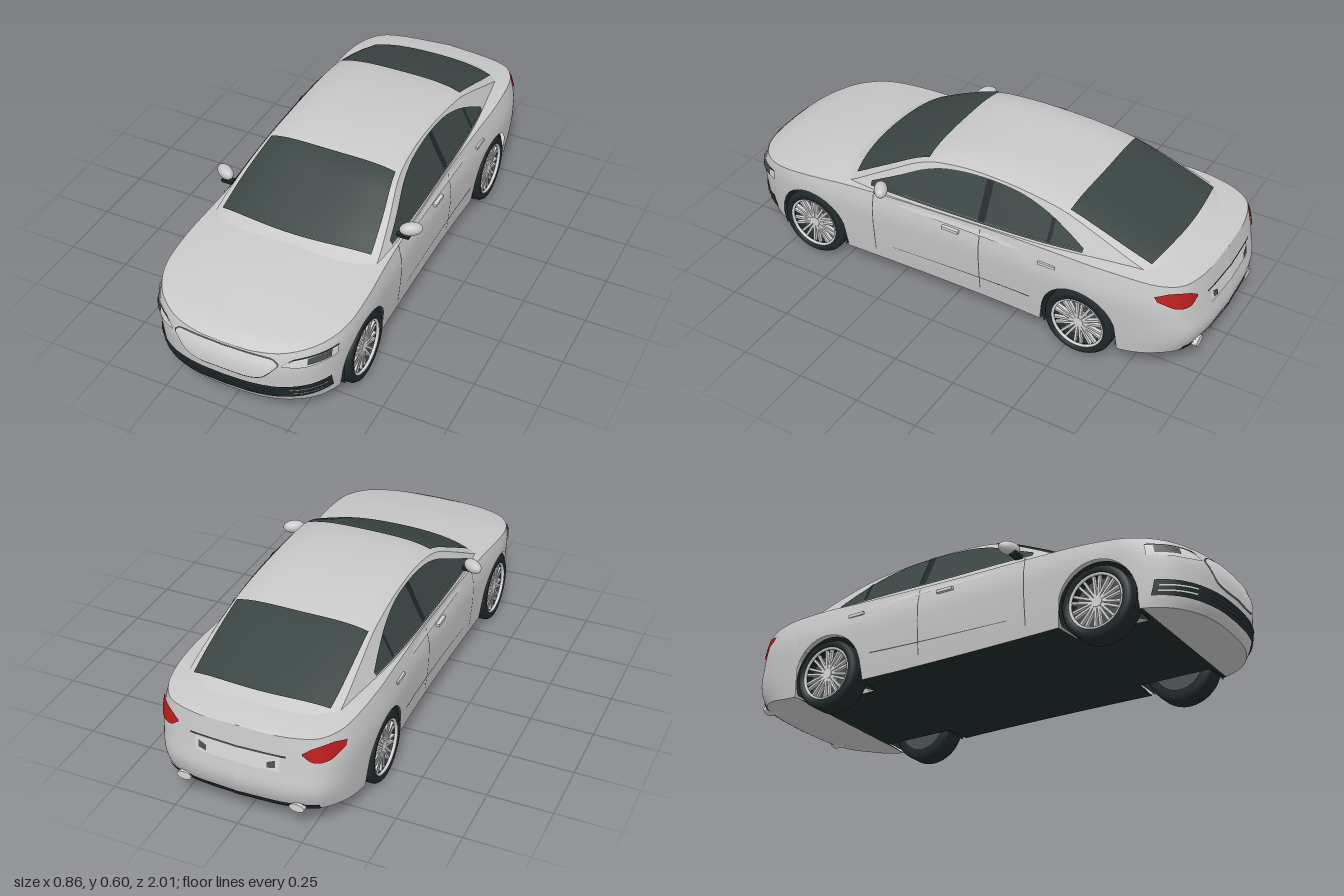
import * as THREE from 'three';

const mat = (name, color) => {
  const m = new THREE.MeshStandardMaterial({ color, side: THREE.DoubleSide });
  m.name = name;
  return m;
};

// Smooth curve through [position, value] pairs
function curve(table) {
  const p = [...table].sort((a, b) => a[0] - b[0]);
  const slope = i => {
    const a = p[Math.max(i - 1, 0)], b = p[Math.min(i + 1, p.length - 1)];
    return (b[1] - a[1]) / (b[0] - a[0]);
  };
  return t => {
    if (t <= p[0][0]) return p[0][1];
    if (t >= p[p.length - 1][0]) return p[p.length - 1][1];
    let i = 0;
    while (t > p[i + 1][0]) i++;
    const h = p[i + 1][0] - p[i][0], s = (t - p[i][0]) / h;
    const s2 = s * s, s3 = s2 * s;
    return (2 * s3 - 3 * s2 + 1) * p[i][1] + (s3 - 2 * s2 + s) * h * slope(i)
      + (3 * s2 - 2 * s3) * p[i + 1][1] + (s3 - s2) * h * slope(i + 1);
  };
}

// Surface grid: f(i, j) returns [x, y, z]
function grid(nu, nv, f) {
  const pos = [], idx = [];
  for (let i = 0; i <= nu; i++) for (let j = 0; j <= nv; j++) pos.push(...f(i, j));
  for (let i = 0; i < nu; i++) for (let j = 0; j < nv; j++) {
    const a = i * (nv + 1) + j, b = a + nv + 1;
    idx.push(a, b, a + 1, b, b + 1, a + 1);
  }
  const g = new THREE.BufferGeometry();
  g.setAttribute('position', new THREE.Float32BufferAttribute(pos, 3));
  g.setIndex(idx);
  g.computeVertexNormals();
  return g;
}

export function createModel() {
  const car = new THREE.Group();
  car.name = 'sedan';
  const paint = mat('body paint', 0xc8c8c8), silver = mat('silver trim', 0xd6d6d6);
  const glass = mat('tinted glass', 0x3a4543), black = mat('black rubber', 0x20282a);
  const grey = mat('dark grey', 0x4a5052), red = mat('tail light red', 0xb81c1c);
  const add = (name, geo, m, parent = car) => {
    const mesh = new THREE.Mesh(geo, m);
    mesh.name = name;
    parent.add(mesh);
    return mesh;
  };

  // Plan outline of one half, from nose to tail
  const N = 220, axles = [0.63, -0.555], wheelY = 0.14, archR = 0.155;
  const plan = new THREE.CatmullRomCurve3([[0, 1], [0.12, 0.993], [0.22, 0.967], [0.3, 0.915], [0.345, 0.85],
    [0.374, 0.76], [0.385, 0.62], [0.378, 0.4], [0.372, 0.1], [0.372, -0.2], [0.379, -0.42], [0.386, -0.6],
    [0.376, -0.76], [0.348, -0.88], [0.3, -0.95], [0.2, -0.985], [0, -1]]
    .map(([x, z]) => new THREE.Vector3(x, 0, z))).getSpacedPoints(N);

  const inset = curve([[0.08, 0.955], [0.16, 0.978], [0.28, 1], [0.33, 0.995], [0.4, 0.955], [0.43, 0.93]]);
  const noseShift = curve([[0.08, -0.03], [0.12, -0.01], [0.2, 0], [0.26, 0], [0.31, -0.015], [0.36, -0.04]]);
  const tailShift = curve([[0.1, 0.035], [0.15, 0.01], [0.2, 0], [0.27, 0.012], [0.33, 0.022], [0.41, 0.035]]);
  const shoulder = curve([[1, 0.308], [0.9, 0.335], [0.7, 0.362], [0.45, 0.384], [0, 0.4], [-0.4, 0.412],
    [-0.7, 0.418], [-0.9, 0.408], [-1, 0.402]]);
  const deckMid = curve([[1, 0.308], [0.95, 0.335], [0.9, 0.35], [0.7, 0.388], [0.5, 0.413], [0.4, 0.42],
    [0, 0.42], [-0.7, 0.445], [-0.9, 0.428], [-1, 0.408]]);
  const wallAt = (i, y) => {
    const { x, z } = plan[i];
    const wF = THREE.MathUtils.smoothstep(z, 0.7, 0.98), wR = THREE.MathUtils.smoothstep(-z, 0.7, 0.98);
    return [x * inset(y), y, z + wF * noseShift(y) + wR * tailShift(y)];
  };
  const sillY = z => 0.08 + 0.03 * THREE.MathUtils.smoothstep(-z, 0.7, 0.98);
  const bottom = z => {
    for (const a of axles) {
      const d = Math.abs(z - a);
      if (d < archR) return wheelY + Math.sqrt(archR * archR - d * d);
    }
    return sillY(z);
  };

  // Body sides with wheel arches
  for (const s of [1, -1]) add('bodySide', grid(N, 16, (i, j) => {
    const z = plan[i].z, b = bottom(z);
    const [x, y, zz] = wallAt(i, b + (shoulder(z) - b) * j / 16);
    return [s * x, y, zz];
  }), paint);

  // Bonnet and boot lid
  add('upperDeck', grid(N, 20, (i, j) => {
    const z = plan[i].z, [x, y, zz] = wallAt(i, shoulder(z)), u = j / 10 - 1;
    return [u * x, y + (deckMid(z) - y) * (1 - u * u), zz];
  }), paint);

  // Underside, narrowed between the wheels
  const floorStrip = (name, from, to, m) => {
    const ids = [...plan.keys()].filter(i => plan[i].z <= from && plan[i].z >= to);
    add(name, grid(ids.length - 1, 2, (k, j) => {
      const z = plan[ids[k]].z, y = sillY(z), [x, , zz] = wallAt(ids[k], y);
      const w = axles.some(a => Math.abs(z - a) < archR) ? 0.25 : x;
      return [(j - 1) * w, y, zz];
    }), m);
  };
  floorStrip('frontUnderside', 1, 0.8, paint);
  floorStrip('floor', 0.81, -0.72, black);
  floorStrip('rearUnderside', -0.71, -1, paint);

  // Cabin shell
  const roofY = curve([[0.55, 0.4], [0.49, 0.425], [0.4, 0.468], [0.3, 0.515], [0.2, 0.56], [0.12, 0.583], [0, 0.597],
    [-0.1, 0.6], [-0.25, 0.594], [-0.4, 0.576], [-0.47, 0.561], [-0.6, 0.52], [-0.8, 0.45], [-0.9, 0.412]]);
  const belt = curve([[0.55, 0.325], [0.45, 0.338], [0.3, 0.349], [0, 0.351], [-0.4, 0.348], [-0.7, 0.322], [-0.9, 0.29]]);
  const bend = curve([[0.5, 0.055], [0.15, 0.012], [0, 0], [-0.4, -0.01], [-0.85, -0.05]]);
  const sideX = (z, y) => belt(z) - (y - 0.4) * 0.5;
  const roofAt = (z, u) => {
    const T = roofY(z), e = Math.max(T - 0.026, 0.38), x = u * sideX(z, e);
    return [x, e + (T - e) * (1 - u ** 4), z - bend(z) * (x / 0.35) ** 2];
  };
  add('roof', grid(70, 30, (i, j) => roofAt(0.55 - i * 1.45 / 70, j / 15 - 1)), paint);
  for (const s of [1, -1]) add('cabinSide', grid(70, 6, (i, j) => {
    const z = 0.55 - i * 1.45 / 70, [xe, ye, ze] = roofAt(z, 1), y = 0.37 + (ye - 0.37) * j / 6;
    return [s * (j === 6 ? xe : sideX(z, y)), y, ze];
  }), paint);

  // Windscreen and rear window
  const screen = (name, z0, z1, w0, w1) => add(name, grid(24, 20, (i, j) => {
    const t = i / 24, p = roofAt(z0 + (z1 - z0) * t, (j / 10 - 1) * (w0 + (w1 - w0) * t));
    return [p[0], p[1] + 0.006, p[2] + 0.002 * Math.sign(z0)];
  }), glass);
  screen('windscreen', 0.49, 0.15, 0.92, 0.94);
  screen('rearWindow', -0.46, -0.81, 0.95, 0.9);

  // Thin panel between two height curves, laid on a surface
  const panel = (name, from, to, low, high, map, m, n = 28) => {
    const lo = curve(low), hi = curve(high);
    add(name, grid(n, 4, (i, j) => {
      const u = from + (to - from) * i / n;
      return map(u, lo(u) + (hi(u) - lo(u)) * j / 4);
    }), m);
  };
  const flat = y => [[-1, y], [1, y]];

  // Point on nose (s = 1) or tail (s = -1) at given x and height
  const endAt = (x, y, s, lift) => {
    const ax = Math.abs(x);
    let i = s > 0 ? 0 : N;
    while (Math.abs(i - (s > 0 ? 0 : N)) < N / 3 && wallAt(i + s, y)[0] < ax) i += s;
    const a = wallAt(i, y), b = wallAt(i + s, y);
    const t = Math.min(Math.max((ax - a[0]) / (b[0] - a[0]), 0), 1);
    return [x * (1 + lift * 2.2), y, a[2] + (b[2] - a[2]) * t + s * lift];
  };
  const onEnd = (s, mirror = 1, lift = 0.004) => (x, y) => endAt(mirror * x, y, s, lift);
  // Point on the body flank
  const onFlank = s => (z, y) => {
    let i = 0;
    while (plan[i].z > z) i++;
    return [s * (wallAt(i, y)[0] + 0.003), y, z];
  };

  // Nose: grille and lower intake
  panel('grilleFrame', -0.205, 0.205, [[-0.205, 0.27], [-0.14, 0.205], [0, 0.198], [0.14, 0.205], [0.205, 0.27]],
    [[-0.205, 0.28], [-0.18, 0.3], [0, 0.306], [0.18, 0.3], [0.205, 0.28]], onEnd(1, 1, 0.003), grey);
  panel('grille', -0.2, 0.2, [[-0.2, 0.272], [-0.14, 0.21], [0, 0.203], [0.14, 0.21], [0.2, 0.272]],
    [[-0.2, 0.279], [-0.18, 0.296], [0, 0.302], [0.18, 0.296], [0.2, 0.279]], onEnd(1, 1, 0.006), silver);
  panel('lowerIntake', -0.2, 0.2, flat(0.115), flat(0.172), onEnd(1), black);
  for (const y of [0.127, 0.142, 0.157]) panel('intakeSlat', -0.19, 0.19, flat(y), flat(y + 0.003), onEnd(1, 1, 0.007), grey);

  for (const s of [1, -1]) {
    // Headlights and side intakes
    panel('headlight', 0.215, 0.358, [[0.215, 0.27], [0.28, 0.264], [0.358, 0.272]],
      [[0.215, 0.274], [0.25, 0.298], [0.358, 0.314]], onEnd(1, s), silver);
    panel('headlightInner', 0.29, 0.346, [[0.29, 0.276], [0.346, 0.28]], [[0.29, 0.3], [0.346, 0.31]], onEnd(1, s, 0.007), grey);
    panel('headlightBrow', 0.235, 0.358, [[0.235, 0.287], [0.25, 0.296], [0.358, 0.311]],
      [[0.235, 0.29], [0.25, 0.301], [0.358, 0.316]], onEnd(1, s, 0.007), black);
    panel('sideIntake', 0.2, 0.343, [[0.2, 0.115], [0.343, 0.12]], [[0.2, 0.172], [0.343, 0.178]], onEnd(1, s), black);
    for (const y of [0.133, 0.153]) panel('sideSlat', 0.235, 0.335, flat(y), flat(y + 0.005), onEnd(1, s, 0.007), silver);

    // Tail lights and exhausts
    panel('tailLight', 0.235, 0.349, [[0.235, 0.345], [0.27, 0.322], [0.32, 0.325], [0.349, 0.352]],
      [[0.235, 0.352], [0.27, 0.374], [0.32, 0.385], [0.349, 0.372]], onEnd(-1, s, 0.005), red);
    const pipe = add('exhaust', new THREE.CylinderGeometry(0.017, 0.017, 0.06, 16), silver);
    pipe.rotation.x = Math.PI / 2;
    pipe.scale.x = 1.7;
    pipe.position.set(s * 0.22, 0.125, -0.945);
    panel('plateCorner', 0.115, 0.145, [[0.115, 0.278], [0.145, 0.285]], [[0.115, 0.3], [0.145, 0.312]], onEnd(-1, s, 0.006), grey);

    // Side windows with pillar and trim
    const onCabin = lift => (z, y) => [s * (sideX(z, y) + lift), y, z];
    const top = [[0.36, 0.424], [0.25, 0.476], [0.15, 0.525], [0.05, 0.554], [-0.1, 0.567], [-0.25, 0.56],
      [-0.37, 0.53], [-0.47, 0.485], [-0.54, 0.446]];
    const sill = [[0.36, 0.414], [0, 0.419], [-0.3, 0.428], [-0.54, 0.438]];
    panel('sideWindow', 0.36, -0.54, sill, top, onCabin(0.005), glass, 50);
    panel('centrePillar', -0.115, -0.145, sill, top, onCabin(0.008), black, 4);
    panel('rearPillar', -0.4, -0.415, sill, top, onCabin(0.008), black, 4);
    panel('windowSillTrim', 0.36, -0.54, sill.map(([z, y]) => [z, y - 0.007]), sill, onCabin(0.006), grey, 40);

    // Door seams, rocker crease and handles
    for (const z of [0.34, -0.13]) panel('doorSeam', z, z - 0.004, flat(0.12), flat(0.395), onFlank(s), grey, 2);
    panel('rockerCrease', 0.26, -0.35, [[0.26, 0.158], [-0.35, 0.176]], [[0.26, 0.16], [-0.35, 0.181]], onFlank(s), grey);
    for (const z of [-0.01, -0.42]) {
      const handle = add('doorHandle', new THREE.BoxGeometry(0.014, 0.012, 0.07), silver);
      handle.position.set(s * 0.372, 0.355, z);
    }

    // Mirrors
    const shell = add('mirror', new THREE.SphereGeometry(1, 20, 14), paint);
    shell.scale.set(0.044, 0.026, 0.026);
    shell.position.set(s * 0.389, 0.44, 0.285);
    shell.rotation.y = s * 0.55;
    const arm = add('mirrorArm', new THREE.BoxGeometry(0.06, 0.012, 0.03), black);
    arm.position.set(s * 0.362, 0.416, 0.3);
  }

  // Tail: plate recess and lower valance
  panel('plateRecess', -0.16, 0.16, flat(0.268), flat(0.328), onEnd(-1, 1, 0.003), silver);
  panel('bootTrim', -0.18, 0.18, flat(0.328), flat(0.335), onEnd(-1, 1, 0.006), grey);
  panel('rearValance', -0.29, 0.29, flat(0.113), flat(0.14), onEnd(-1), black);

  // Wheels and wheel wells
  const tyreProfile = [[0.1, -0.05], [0.13, -0.05], [0.139, -0.038], [0.14, 0], [0.139, 0.038], [0.131, 0.05], [0.108, 0.05], [0.104, 0.03]]
    .map(([r, y]) => new THREE.Vector2(r, y));
  for (const s of [1, -1]) for (const z of axles) {
    const wheel = new THREE.Group();
    wheel.name = 'wheel';
    wheel.position.set(s * 0.329, wheelY, z);
    wheel.rotation.z = -s * Math.PI / 2;
    car.add(wheel);
    add('tyre', new THREE.LatheGeometry(tyreProfile, 40), black, wheel);
    add('rimBack', new THREE.CylinderGeometry(0.104, 0.104, 0.05, 32), grey, wheel).position.y = -0.02;
    const lip = add('rimLip', new THREE.TorusGeometry(0.104, 0.006, 8, 40), silver, wheel);
    lip.rotation.x = Math.PI / 2;
    lip.position.y = 0.044;
    add('hub', new THREE.CylinderGeometry(0.02, 0.026, 0.035, 20), silver, wheel).position.y = 0.023;
    for (let k = 0; k < 10; k++) {
      const spoke = new THREE.Group();
      spoke.name = 'spoke';
      spoke.rotation.y = k * Math.PI / 5;
      wheel.add(spoke);
      for (const d of [1, -1]) {
        const bar = add('spokeBar', new THREE.BoxGeometry(0.086, 0.014, 0.009), silver, spoke);
        bar.position.set(0.06, 0.032, d * 0.0085);
        bar.rotation.y = -d * 0.09;
      }
    }
    const well = add('wheelWell', new THREE.CylinderGeometry(archR, archR, 0.12, 32, 1, true, -0.4, Math.PI + 0.8), black);
    well.rotation.z = Math.PI / 2;
    well.position.set(s * 0.305, wheelY, z);
    const liner = add('wheelWellInner', new THREE.CircleGeometry(archR, 32, -0.4, Math.PI + 0.8), black);
    liner.rotation.y = Math.PI / 2;
    liner.position.set(s * 0.25, wheelY, z);
  }
  return car;
}
